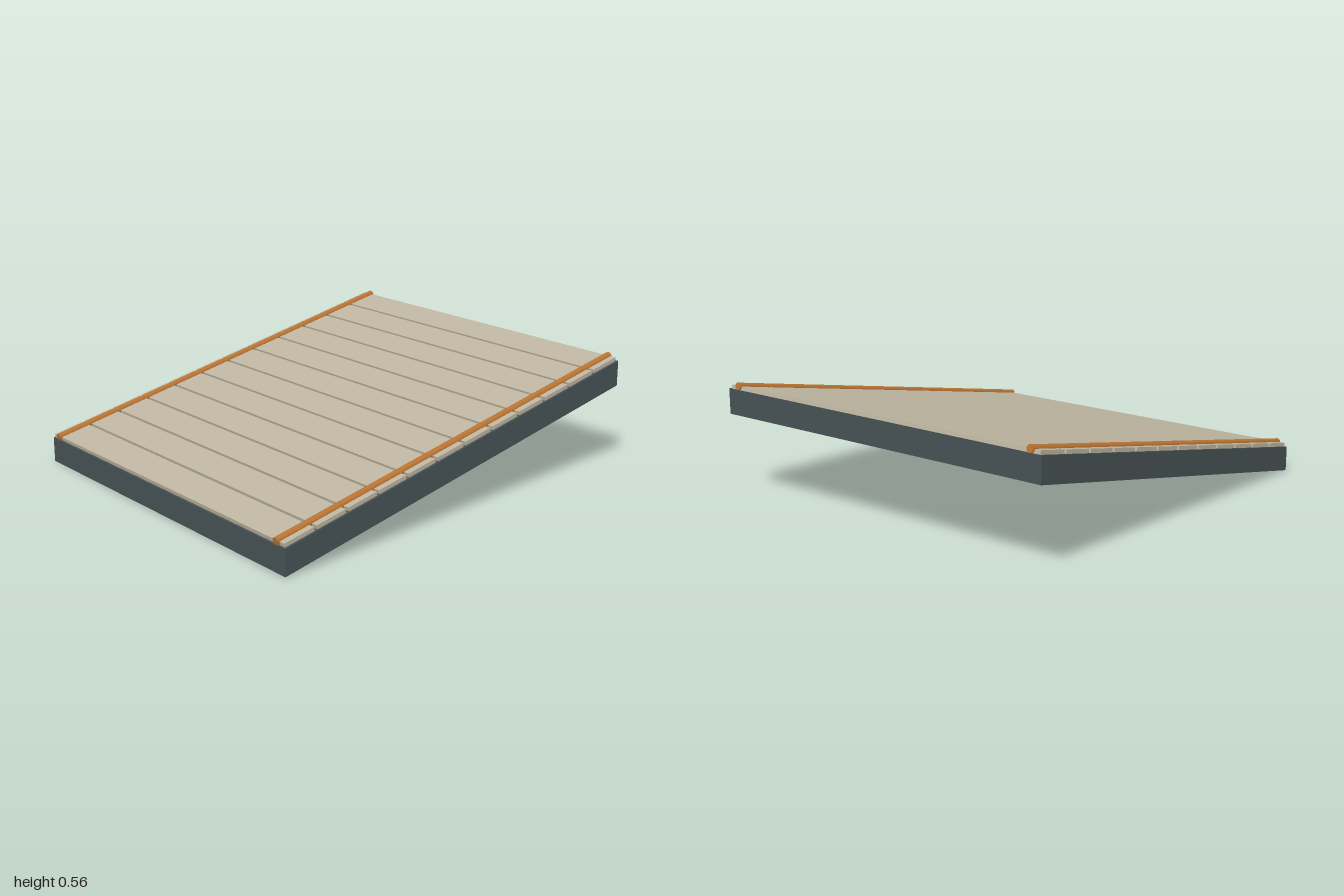
import * as THREE from 'three';

const SLOPE = Math.atan(0.2035); // ramp rises towards the back
const DECK_Y = 0.3225;           // deck height at the middle

const steel = new THREE.MeshStandardMaterial({ color: 0x465254 });
const wood = new THREE.MeshStandardMaterial({ color: 0xbdb5a0 });
const copper = new THREE.MeshStandardMaterial({ color: 0xb87333 });

function addMesh(parent, name, geometry, material, x, y, z) {
  const mesh = new THREE.Mesh(geometry, material);
  mesh.name = name;
  mesh.position.set(x, y, z);
  parent.add(mesh);
  return mesh;
}

export function createModel() {
  const group = new THREE.Group();
  group.name = 'slattedRamp';

  // Base slab: side profile with vertical ends, extruded across the width
  const halfDepth = 0.996, width = 1.79;
  const profile = new THREE.Shape([
    new THREE.Vector2(-halfDepth, 0),
    new THREE.Vector2(halfDepth, 0.405),
    new THREE.Vector2(halfDepth, 0.525),
    new THREE.Vector2(-halfDepth, 0.12),
  ]);
  const slab = new THREE.ExtrudeGeometry(profile, { depth: width, bevelEnabled: false });
  slab.translate(0, 0, -width / 2);
  slab.rotateY(Math.PI / 2);
  addMesh(group, 'baseSlab', slab, steel, 0, 0, 0);

  // Everything on the deck lies along the slope
  const deck = new THREE.Group();
  deck.name = 'deck';
  deck.position.y = DECK_Y;
  deck.rotation.x = SLOPE;
  group.add(deck);

  // Cross planks with narrow gaps
  const count = 12, pitch = 0.166 / Math.cos(SLOPE);
  const plank = new THREE.BoxGeometry(1.77, 0.024, pitch - 0.014);
  for (let i = 0; i < count; i++) {
    addMesh(deck, `plank${i + 1}`, plank, wood, 0, 0.006, (i - (count - 1) / 2) * pitch);
  }

  // Round edge rails, half sunk into the planks
  const rail = new THREE.CylinderGeometry(0.0175, 0.0175, 2.034, 16);
  rail.rotateX(Math.PI / 2);
  for (const side of [-1, 1]) {
    addMesh(deck, side > 0 ? 'leftRail' : 'rightRail', rail, copper, side * 0.838, 0.016, 0);
  }
  return group;
}
